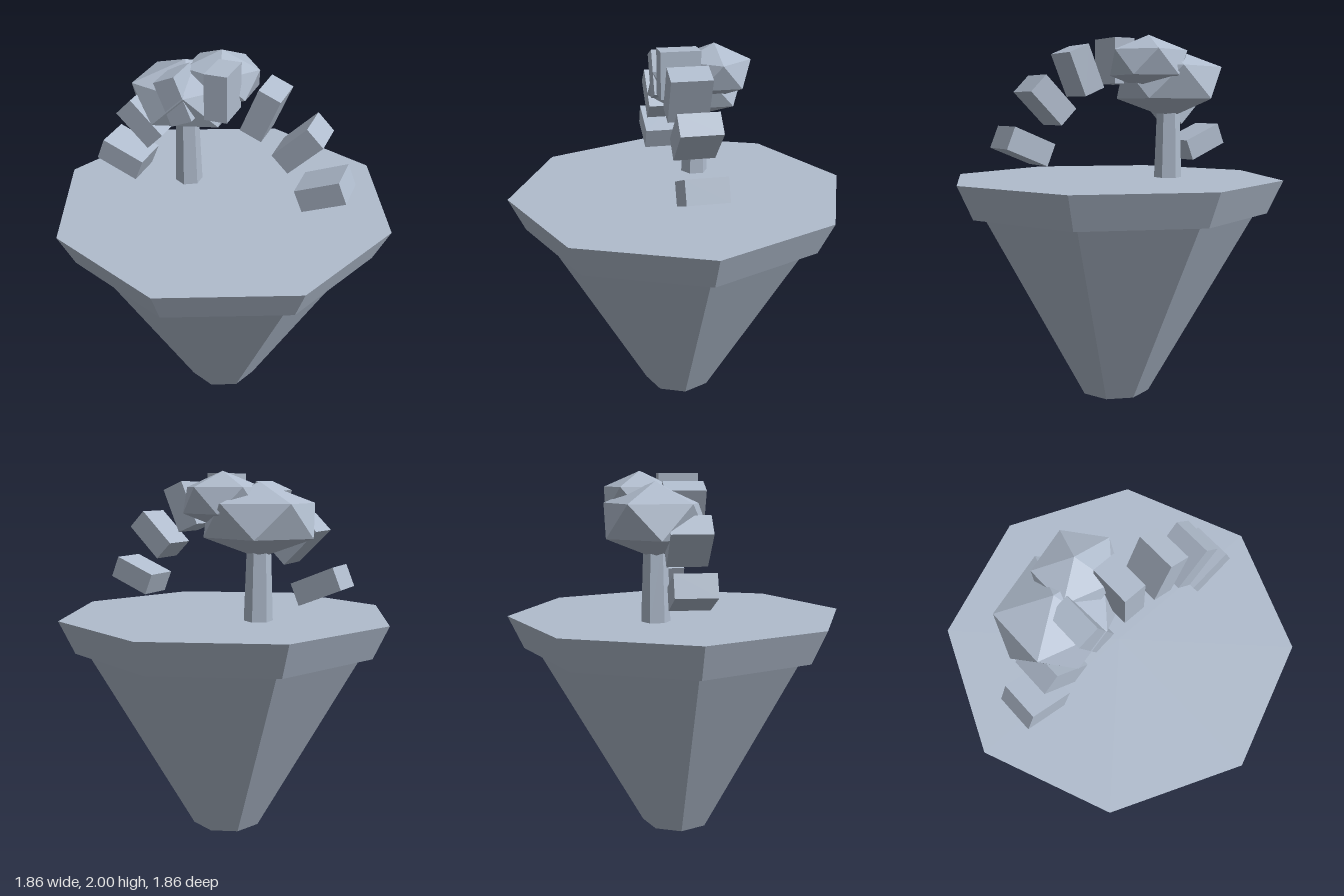
import * as THREE from 'three';

const stone = new THREE.MeshStandardMaterial({ color: 0xb0bccd, flatShading: true });
stone.name = 'paleStone';

export function createModel() {
  const model = new THREE.Group();
  model.name = 'floatingIsland';

  function add(name, geometry, x, y, z, parent = model) {
    const mesh = new THREE.Mesh(geometry, stone);
    mesh.name = name;
    mesh.position.set(x, y, z);
    parent.add(mesh);
    return mesh;
  }

  // Island: octagonal slab on a tapering rock
  add('islandRock', new THREE.CylinderGeometry(0.783, 0.2, 1.05, 8), 0, 0.525, 0);
  add('islandTop', new THREE.CylinderGeometry(0.93, 0.847, 0.18, 8), 0, 1.14, 0);

  // Arch: seven separate blocks fanned along a half ellipse
  const arch = new THREE.Group();
  arch.name = 'arch';
  model.add(arch);
  const block = new THREE.BoxGeometry(0.123, 0.245, 0.212);
  for (let i = -3; i <= 3; i++) {
    const a = i * Math.PI / 8;
    const mesh = add('archBlock', block, 0.61 * Math.sin(a), 1.142 + 0.726 * Math.cos(a), 0, arch);
    mesh.rotation.z = -a;
  }

  // Tree: six-sided trunk and two flattened crowns
  const tree = new THREE.Group();
  tree.name = 'tree';
  model.add(tree);
  add('trunk', new THREE.CylinderGeometry(0.062, 0.077, 0.42, 6), -0.263, 1.44, -0.147, tree);

  // Icosahedron turned to stand on a corner, with one upper corner toward +x
  function crown(name, rx, ry, rz, x, y, z) {
    const g = new THREE.IcosahedronGeometry(1, 0);
    g.rotateX(-Math.atan((1 + Math.sqrt(5)) / 2));
    g.rotateY(Math.PI / 2);
    g.scale(rx, ry, rz);
    g.computeVertexNormals();
    add(name, g, x, y, z, tree);
  }
  crown('largeCrown', 0.335, 0.194, 0.302, -0.265, 1.753, -0.148);
  crown('smallCrown', 0.237, 0.148, 0.218, -0.085, 1.853, -0.209);

  return model;
}
